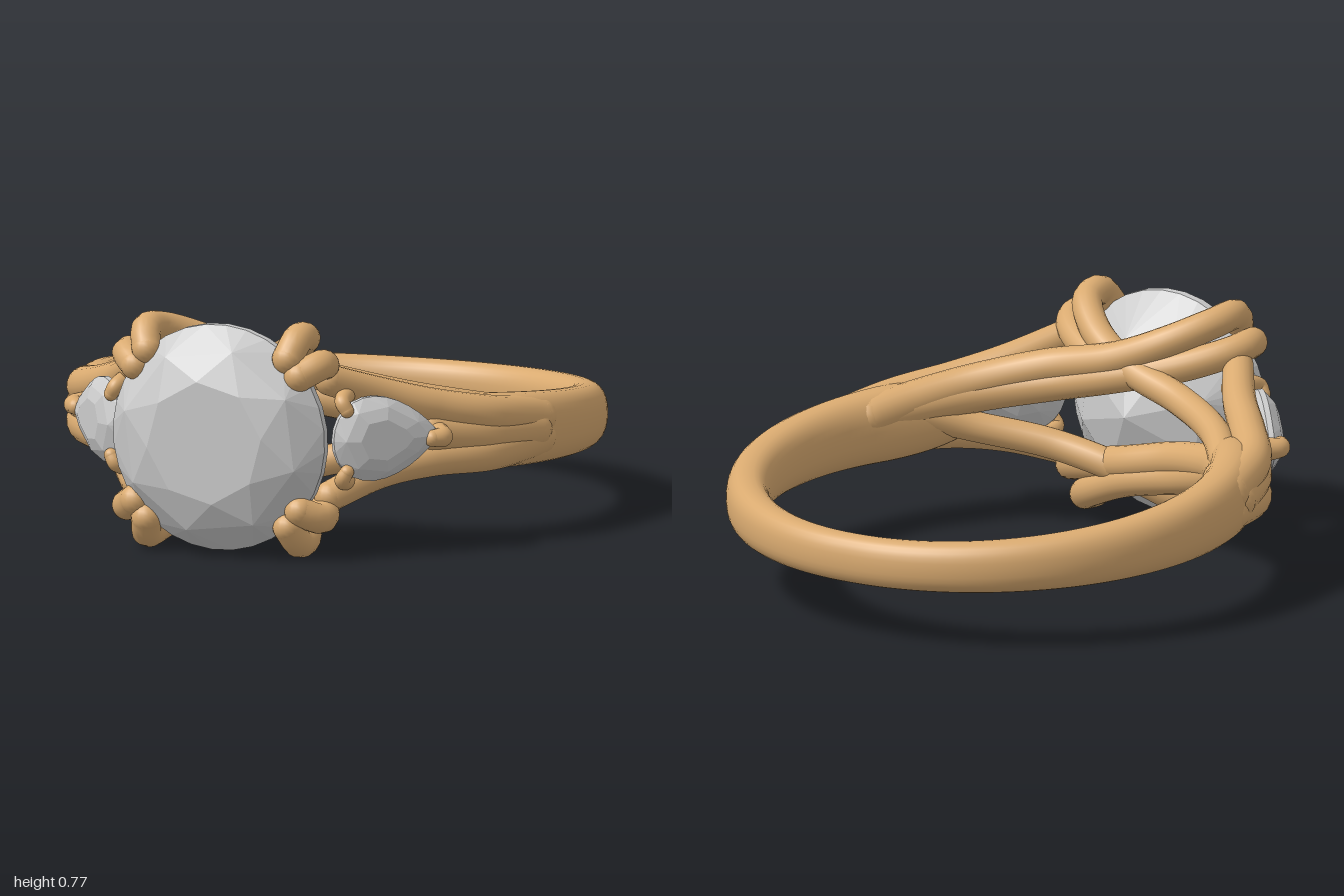
import * as THREE from 'three';
import { ConvexGeometry } from 'three/addons/geometries/ConvexGeometry.js';

const V = (x, y, z) => new THREE.Vector3(x, y, z);
const CY = 0.39; // height of the setting's centre
const gold = new THREE.MeshStandardMaterial({ color: 0xd9aa70 });
const stone = new THREE.MeshStandardMaterial({ color: 0xcccccc, flatShading: true });

function add(parent, name, geometry, material) {
  const mesh = new THREE.Mesh(geometry, material);
  mesh.name = name;
  parent.add(mesh);
  return mesh;
}

// Skin a grid of cross-sections: point(t, u) with u running around the loop
function skin(rows, sides, point) {
  const pos = [], index = [];
  for (let i = 0; i <= rows; i++)
    for (let j = 0; j < sides; j++) pos.push(...point(i / rows, (j / sides) * Math.PI * 2).toArray());
  for (let i = 0; i < rows; i++)
    for (let j = 0; j < sides; j++) {
      const k = (j + 1) % sides;
      const a = i * sides + j, b = i * sides + k, c = a + sides, d = b + sides;
      index.push(a, b, c, b, d, c);
    }
  const g = new THREE.BufferGeometry();
  g.setAttribute('position', new THREE.Float32BufferAttribute(pos, 3));
  g.setIndex(index);
  g.computeVertexNormals();
  return g;
}

// Round wire along a curve, thickness going from r0 to r1, with ball ends
function wire(parent, name, pts, r0, r1) {
  const group = new THREE.Group();
  group.name = name;
  parent.add(group);
  const curve = new THREE.CatmullRomCurve3(pts.map((p) => V(...p)));
  const rows = 56;
  const f = curve.computeFrenetFrames(rows);
  add(group, name + 'Rod', skin(rows, 18, (t, u) => {
    const i = Math.round(t * rows), r = r0 + (r1 - r0) * t;
    return curve.getPointAt(t)
      .addScaledVector(f.normals[i], r * Math.cos(u))
      .addScaledVector(f.binormals[i], r * Math.sin(u));
  }), gold);
  [[pts[0], r0], [pts[pts.length - 1], r1]].forEach(([p, r]) => {
    add(group, name + 'End', new THREE.SphereGeometry(r, 18, 12), gold).position.set(...p);
  });
}

// Band: open hoop that gets wider and thicker towards the shoulders
function bandGeometry() {
  const end = THREE.MathUtils.degToRad(144);
  const bulge = (v) => Math.sign(v) * Math.abs(v) ** 0.85;
  return skin(140, 28, (t, u) => {
    const s = -Math.cos(t * Math.PI); // rows bunch up at the rounded ends
    const a = s * end, k = Math.abs(a) / (Math.PI / 2);
    const cap = Math.sqrt(Math.max(0, 1 - Math.max(0, (Math.abs(s) - 0.82) / 0.18) ** 2));
    const inner = 0.71 - 0.01 * Math.min(k, 1);
    const half = (0.112 + 0.045 * k) / 2;
    const z0 = -0.18 - (inner + half) * Math.cos(a);
    const cy = 0.263 + 0.073 * (z0 + 1);
    const hh = 0.078 + 0.037 * (z0 + 1);
    const r = inner + half + half * cap * bulge(Math.cos(u));
    return V(r * Math.sin(a), cy + hh * cap * bulge(Math.sin(u)), -0.18 - r * Math.cos(a));
  });
}

// Round brilliant: hull of staggered rings [radius, depth, count, turn]
function brilliantGeometry() {
  const pts = [V(0, 0, 0.59)];
  const rings = [[0.2, 0.997, 8, 0], [0.305, 0.953, 8, 0.5], [0.368, 0.87, 32, 0],
    [0.368, 0.84, 32, 0], [0.24, 0.69, 8, 0.5]];
  for (const [r, z, n, turn] of rings)
    for (let i = 0; i < n; i++) {
      const a = ((i + turn) / n) * Math.PI * 2 + 0.13;
      pts.push(V(r * Math.cos(a), r * Math.sin(a), z));
    }
  return new ConvexGeometry(pts);
}

// Pear cut: hull of scaled teardrop outlines, point towards +x
function pearGeometry() {
  const pts = [V(-0.03, 0, -0.085)];
  for (const [s, z, n] of [[0.5, 0.045, 8], [0.8, 0.03, 8], [1, 0, 28], [1, -0.018, 28], [0.55, -0.06, 8]])
    for (let i = 0; i < n; i++) {
      const u = (i / n) * Math.PI * 2;
      const y = 0.168 * Math.sin(u) * Math.abs(Math.sin(u / 2)) ** 0.7;
      pts.push(V(s * (0.185 * Math.cos(u) + 0.03) - 0.03, s * y, z));
    }
  return new ConvexGeometry(pts);
}

// One half of the setting; the other half is this turned 180 degrees about z.
// Heights here are measured from the setting's centre.
function settingHalf() {
  const g = new THREE.Group();

  // Twin strands crossing behind the centre stone to the far upper prongs
  wire(g, 'crossingStrandOuter', [[0.69, 0, 0.14], [0.6, 0.04, 0.29], [0.47, 0.085, 0.43], [0.26, 0.145, 0.54],
    [0.02, 0.2, 0.575], [-0.15, 0.27, 0.63], [-0.25, 0.322, 0.74], [-0.265, 0.33, 0.84], [-0.245, 0.275, 0.885]], 0.065, 0.048);
  wire(g, 'crossingStrandInner', [[0.69, 0, 0.16], [0.59, 0.02, 0.3], [0.45, 0.05, 0.44], [0.24, 0.09, 0.545],
    [0.02, 0.14, 0.575], [-0.19, 0.19, 0.645], [-0.315, 0.235, 0.75], [-0.335, 0.25, 0.83], [-0.285, 0.22, 0.885]], 0.065, 0.048);

  // Strands passing under the crossing to the near upper prongs
  wire(g, 'archStrandOuter', [[-0.64, -0.01, 0.24], [-0.47, 0.06, 0.42], [-0.25, 0.11, 0.54], [-0.02, 0.17, 0.59],
    [0.15, 0.25, 0.655], [0.25, 0.32, 0.75], [0.26, 0.33, 0.84], [0.245, 0.275, 0.885]], 0.05, 0.05);
  wire(g, 'archStrandInner', [[-0.02, 0.15, 0.585], [0.19, 0.19, 0.65],
    [0.315, 0.235, 0.75], [0.335, 0.25, 0.83], [0.285, 0.22, 0.885]], 0.045, 0.05);

  // Claws on the round end of the side stone
  for (const s of [1, -1])
    wire(g, 'sideClaw', [[0.37, 0.14 * s, 0.66], [0.385, 0.14 * s, 0.74],
      [0.395, 0.125 * s, 0.785], [0.41, 0.1 * s, 0.785]], 0.034, 0.023);

  // Claw at the point of the side stone
  wire(g, 'pointClaw', [[0.56, -0.01, 0.44], [0.61, -0.01, 0.5], [0.64, -0.01, 0.54], [0.62, -0.01, 0.575]], 0.05, 0.027);

  // Side stone
  const pear = add(g, 'sideStone', pearGeometry(), stone);
  pear.position.set(0.5, 0, 0.67);
  pear.rotation.y = 0.81;
  return g;
}

// Shoulder on one side: two strands spreading around the side stone, joined by a web
function shoulder(side) {
  const g = new THREE.Group();
  for (const s of [1, -1])
    wire(g, 'shoulderStrand', [[0.765 * side, 0.345 + 0.03 * s, 0.06], [0.695 * side, 0.358 + 0.06 * s, 0.3],
      [0.57 * side, 0.378 + 0.085 * s, 0.46], [0.45 * side, CY + 0.125 * s, 0.59],
      [0.335 * side, CY + 0.19 * s, 0.75]], 0.07, 0.05);
  wire(g, 'shoulderWeb', [[0.765 * side, 0.345, 0.1], [0.69 * side, 0.36, 0.3], [0.57 * side, 0.38, 0.47]], 0.07, 0.065);
  return g;
}

export function createModel() {
  const ring = new THREE.Group();
  ring.name = 'ring';
  add(ring, 'band', bandGeometry(), gold);
  add(ring, 'centreStone', brilliantGeometry(), stone).position.y = CY;
  for (const side of [1, -1]) {
    const label = side > 0 ? 'left' : 'right';
    const half = settingHalf();
    half.name = label + 'Setting';
    half.position.y = CY;
    half.rotation.z = side > 0 ? 0 : Math.PI;
    const arm = shoulder(side);
    arm.name = label + 'Shoulder';
    ring.add(half, arm);
  }
  return ring;
}
